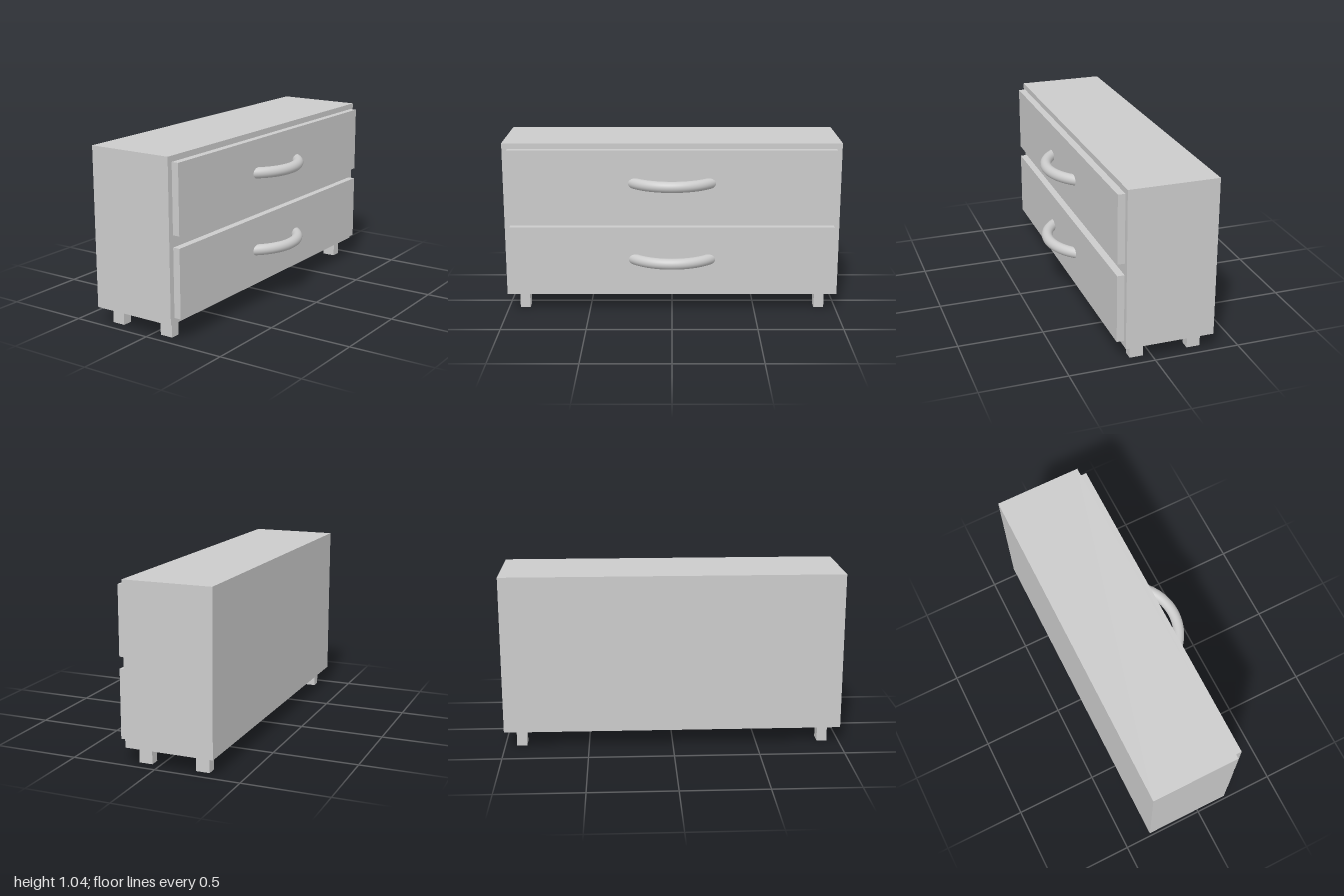
import * as THREE from 'three';

export function createModel() {
  const model = new THREE.Group();
  model.name = 'drawerCabinet';
  const material = new THREE.MeshStandardMaterial({ color: 0xcccccc });

  const add = (name, geometry, x, y, z) => {
    const mesh = new THREE.Mesh(geometry, material);
    mesh.name = name;
    mesh.position.set(x, y, z);
    model.add(mesh);
  };

  // Cabinet body
  add('body', new THREE.BoxGeometry(0.52, 0.934, 2), -0.085, 0.57, 0);

  // Drawer fronts on the +x side, each with a bowed handle whose ends sink into the front
  const drawerFront = new THREE.BoxGeometry(0.042, 0.399, 1.934);
  const arc = THREE.MathUtils.degToRad(110);
  const handle = new THREE.TorusGeometry(0.3, 0.0325, 24, 48, arc)
    .rotateZ(-arc / 2)
    .rotateX(Math.PI / 2);
  for (const [level, y] of [['lower', 0.337], ['upper', 0.804]]) {
    add(`${level}DrawerFront`, drawerFront, 0.196, y, 0);
    add(`${level}Handle`, handle, 0.008, y, 0);
  }

  // Four short legs
  const leg = new THREE.BoxGeometry(0.079, 0.103, 0.06);
  for (const x of [-0.256, 0.087]) {
    for (const z of [-0.9, 0.9]) add('leg', leg, x, 0.0515, z);
  }

  return model;
}
